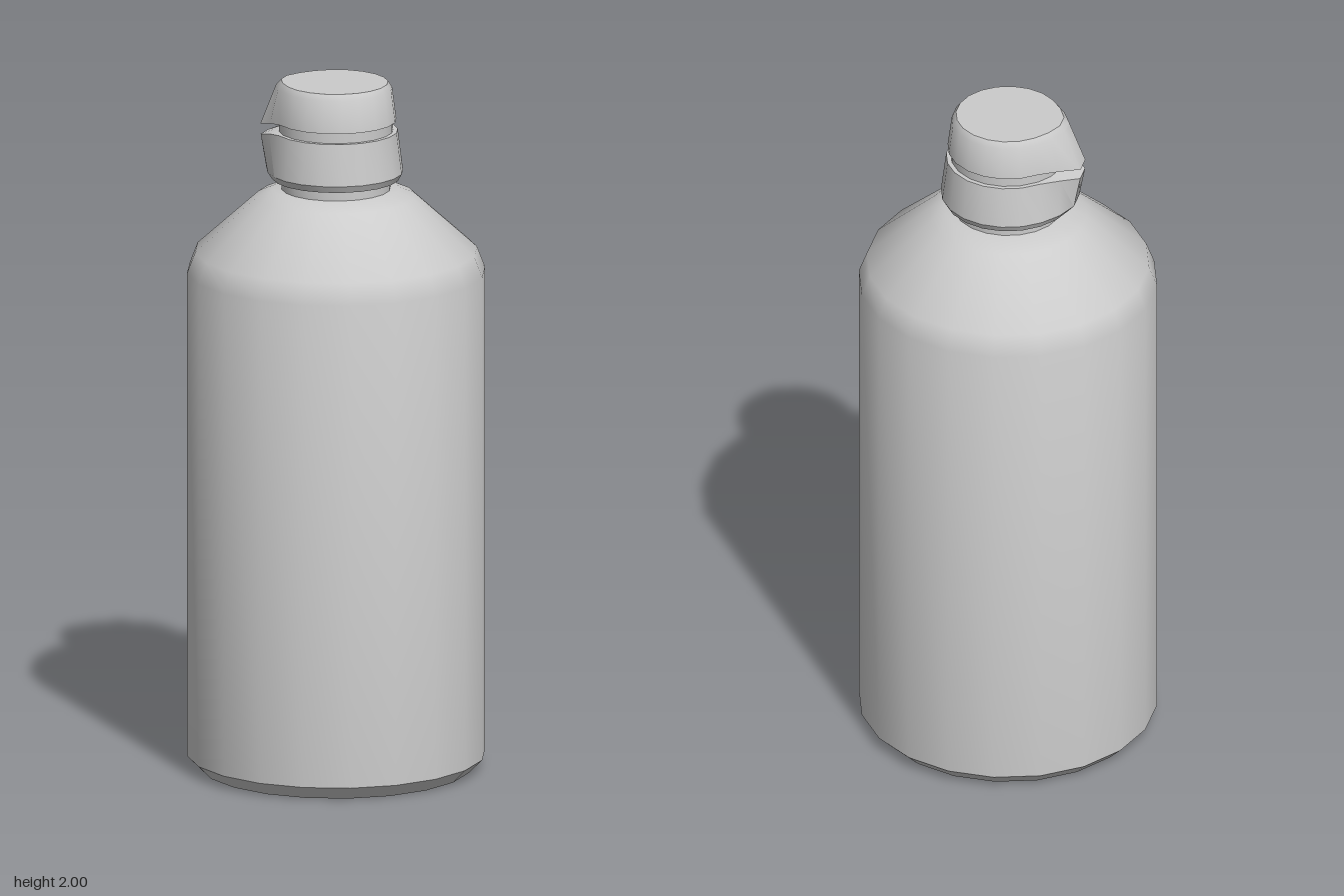
import * as THREE from 'three';
import { toCreasedNormals } from 'three/addons/utils/BufferGeometryUtils.js';

const SIDES = 20;
const TAB_ANGLE = THREE.MathUtils.degToRad(153); // measured from +x towards +z

const material = new THREE.MeshStandardMaterial({ color: 0xcccccc });

// Pull the vertices near the thumb tab outwards and slightly down.
// Each profile point is [radius, height, pull, drop].
function turned(name, profile) {
  const geo = new THREE.LatheGeometry(profile.map(([r, y]) => new THREE.Vector2(r, y)), SIDES);
  const pos = geo.attributes.position;
  for (let i = 0; i < pos.count; i++) {
    const [r, , pull = 0, drop = 0] = profile[i % profile.length];
    if (!pull || r < 0.01) continue;
    const x = pos.getX(i), z = pos.getZ(i);
    const off = Math.abs(THREE.MathUtils.radToDeg(Math.atan2(z, x) - TAB_ANGLE));
    const d = Math.min(off, 360 - off);
    const w = d < 15 ? 1 : d < 30 ? 0.35 : 0;
    pos.setXYZ(i, x + Math.cos(TAB_ANGLE) * pull * w, pos.getY(i) - drop * w, z + Math.sin(TAB_ANGLE) * pull * w);
  }
  const mesh = new THREE.Mesh(toCreasedNormals(geo, 0.6), material);
  mesh.name = name;
  return mesh;
}

export function createModel() {
  const bottle = new THREE.Group();
  bottle.name = 'bottle';

  // Body with bevelled foot and sloping shoulder
  bottle.add(turned('body', [
    [0, 0], [0.385, 0], [0.425, 0.04], [0.425, 1.45], [0.402, 1.51],
    [0.225, 1.67], [0.18, 1.69], [0, 1.69],
  ]));

  // Neck under the cap, and the recessed core seen in the cap's seam
  bottle.add(turned('neck', [[0.155, 1.685], [0.155, 1.73]]));
  bottle.add(turned('capCore', [[0.163, 1.82], [0.163, 1.91]]));

  // Lower cap ring, flaring out below the thumb tab
  bottle.add(turned('capRing', [
    [0, 1.72], [0.18, 1.72, 0.005], [0.191, 1.74, 0.012],
    [0.176, 1.86, 0.045, 0.025], [0.16, 1.86], [0, 1.86],
  ]));

  // Flip lid with thumb tab
  bottle.add(turned('lid', [
    [0, 1.89], [0.16, 1.89], [0.172, 1.89, 0.05, 0.025],
    [0.16, 1.983, 0.015], [0.148, 2, 0.012], [0, 2],
  ]));

  return bottle;
}
